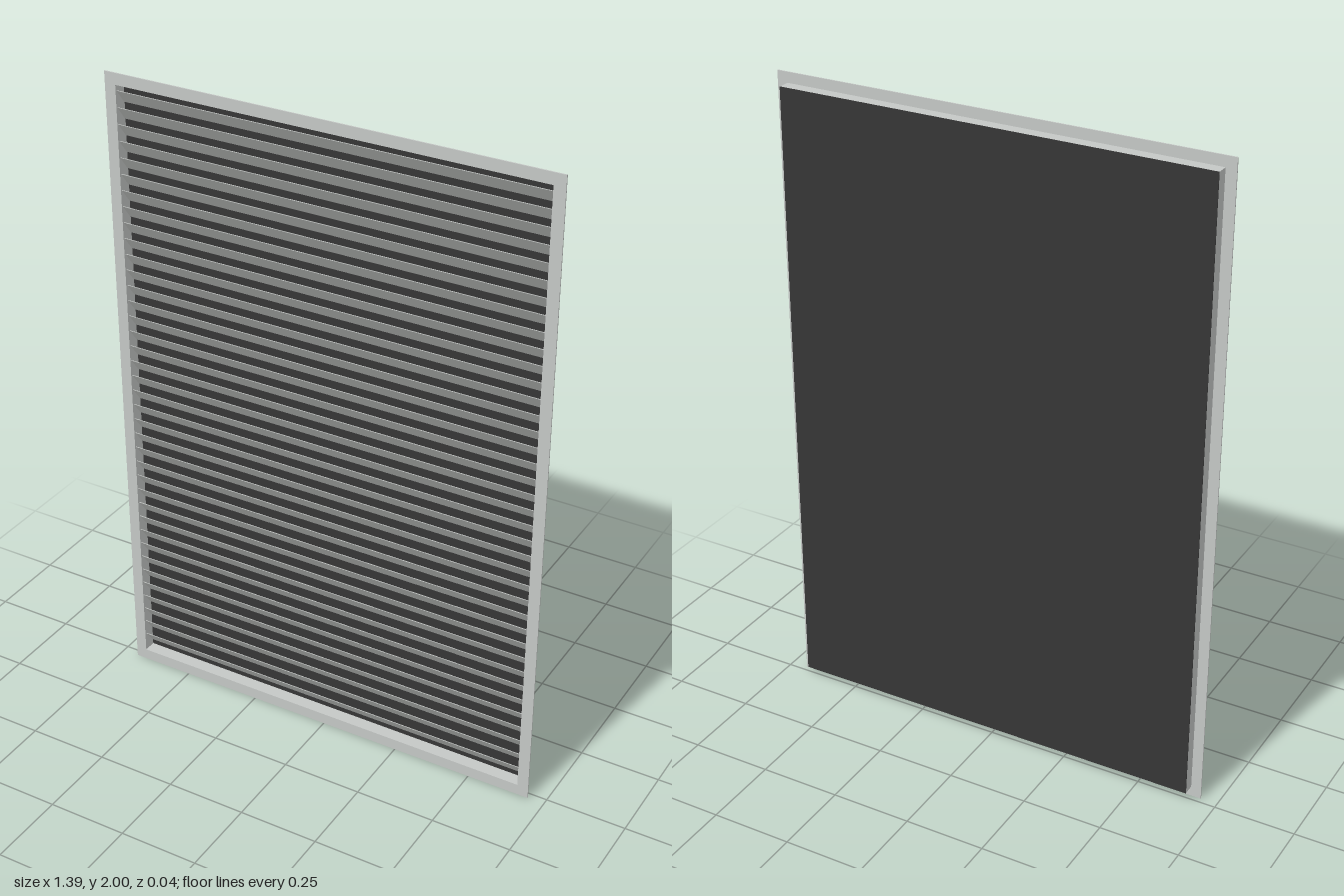
import * as THREE from 'three';

// Rectangular ring with outer and inner half sizes, extruded along z
function ring(w, h, iw, ih, z0, z1) {
  const shape = new THREE.Shape();
  shape.moveTo(-w, -h).lineTo(w, -h).lineTo(w, h).lineTo(-w, h).closePath();
  const hole = new THREE.Path();
  hole.moveTo(-iw, -ih).lineTo(-iw, ih).lineTo(iw, ih).lineTo(iw, -ih).closePath();
  shape.holes.push(hole);
  const geo = new THREE.ExtrudeGeometry(shape, { depth: z1 - z0, bevelEnabled: false });
  return geo.translate(0, 1, z0);
}

export function createModel() {
  const group = new THREE.Group();
  const metal = new THREE.MeshStandardMaterial({ color: 0xc4c7c5 });
  metal.name = 'lightMetal';
  const dark = new THREE.MeshStandardMaterial({ color: 0x363636 });
  dark.name = 'darkBacking';

  const add = (name, geo, mat) => {
    const mesh = new THREE.Mesh(geo, mat);
    mesh.name = name;
    group.add(mesh);
    return mesh;
  };

  // Thin front flange and the shallow duct behind it
  add('flange', ring(0.697, 1, 0.662, 0.965, 0.017, 0.021), metal);
  add('ductWalls', ring(0.665, 0.968, 0.662, 0.965, -0.019, 0.017), metal);

  // Dark sheet closing the back
  add('backing', new THREE.BoxGeometry(1.33, 1.936, 0.002).translate(0, 1, -0.02), dark);

  // Louvre slats, each rising from the back towards the front edge
  const slats = new THREE.Group();
  slats.name = 'slats';
  const rise = 0.044, run = 0.034;
  const profile = new THREE.Shape();
  // profile x runs along z, profile y is height
  profile.moveTo(-run / 2, -rise / 2).lineTo(-run / 2 + 0.002, -rise / 2)
    .lineTo(run / 2, rise / 2 - 0.001).lineTo(run / 2, rise / 2)
    .lineTo(run / 2 - 0.002, rise / 2).closePath();
  const slatGeo = new THREE.ExtrudeGeometry(profile, { depth: 1.324, bevelEnabled: false });
  slatGeo.translate(0, 0, -0.662).rotateY(-Math.PI / 2);
  for (let i = 0; i < 38; i++) {
    const slat = new THREE.Mesh(slatGeo, metal);
    slat.name = 'slat';
    slat.position.set(0, 0.075 + i * 0.05, -0.001);
    slats.add(slat);
  }
  group.add(slats);
  return group;
}
